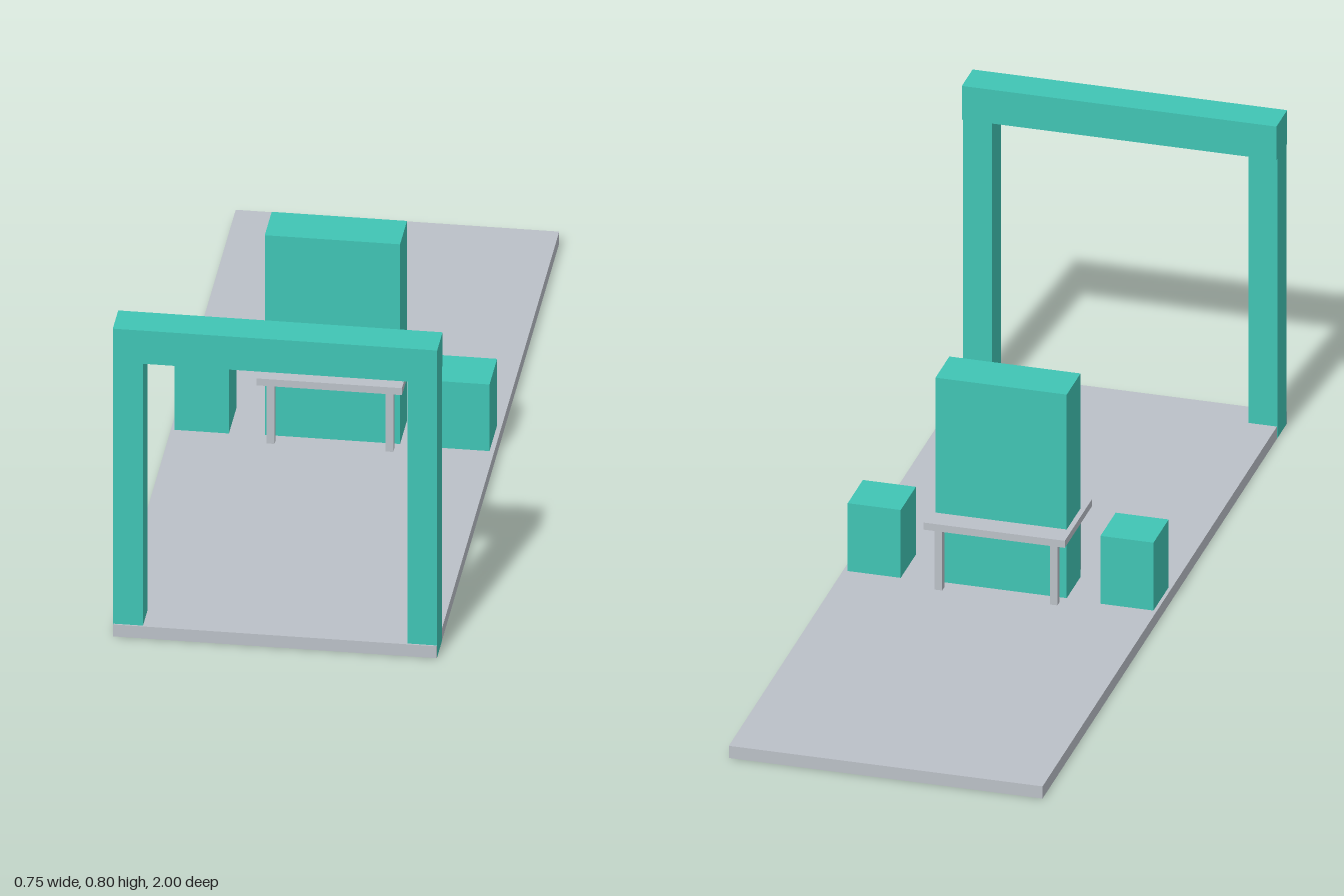
import * as THREE from 'three';

export function createModel() {
  const model = new THREE.Group();
  const teal = new THREE.MeshStandardMaterial({ name: 'teal', color: 0x40c4b4 });
  const grey = new THREE.MeshStandardMaterial({ name: 'grey', color: 0xbbc0c7 });

  // Box given by its lower and upper corners
  function box(name, material, [x0, y0, z0], [x1, y1, z1], parent = model) {
    const mesh = new THREE.Mesh(new THREE.BoxGeometry(x1 - x0, y1 - y0, z1 - z0), material);
    mesh.position.set((x0 + x1) / 2, (y0 + y1) / 2, (z0 + z1) / 2);
    mesh.name = name;
    parent.add(mesh);
    return mesh;
  }

  // Long floor slab
  box('floor', grey, [-0.373, 0, -1], [0.373, 0.031, 1]);

  // Entrance gate: two posts and a slightly deeper lintel
  const gate = new THREE.Group();
  gate.name = 'gate';
  model.add(gate);
  for (const side of [-1, 1]) {
    const x = side * 0.3393;
    box('gatePost', teal, [x - 0.0343, 0.001, 0.92], [x + 0.0343, 0.72, 0.996], gate);
  }
  box('gateLintel', teal, [-0.374, 0.714, 0.912], [0.374, 0.8, 1], gate);

  // Tall block passing through the table
  box('centralBlock', teal, [-0.157, 0.001, -0.058], [0.155, 0.55, 0.055]);

  // Table with four square legs
  const table = new THREE.Group();
  table.name = 'table';
  model.add(table);
  box('tableTop', grey, [-0.169, 0.188, -0.115], [0.167, 0.206, 0.109], table);
  for (const x of [-0.138, 0.136]) {
    for (const z of [-0.091, 0.086]) {
      box('tableLeg', grey, [x - 0.009, 0.03, z - 0.009], [x + 0.009, 0.19, z + 0.009], table);
    }
  }

  // Low block on each side of the table
  for (const x of [-0.302, 0.299]) {
    box('sideBlock', teal, [x - 0.063, 0.02, -0.064], [x + 0.063, 0.204, 0.06]);
  }

  return model;
}
